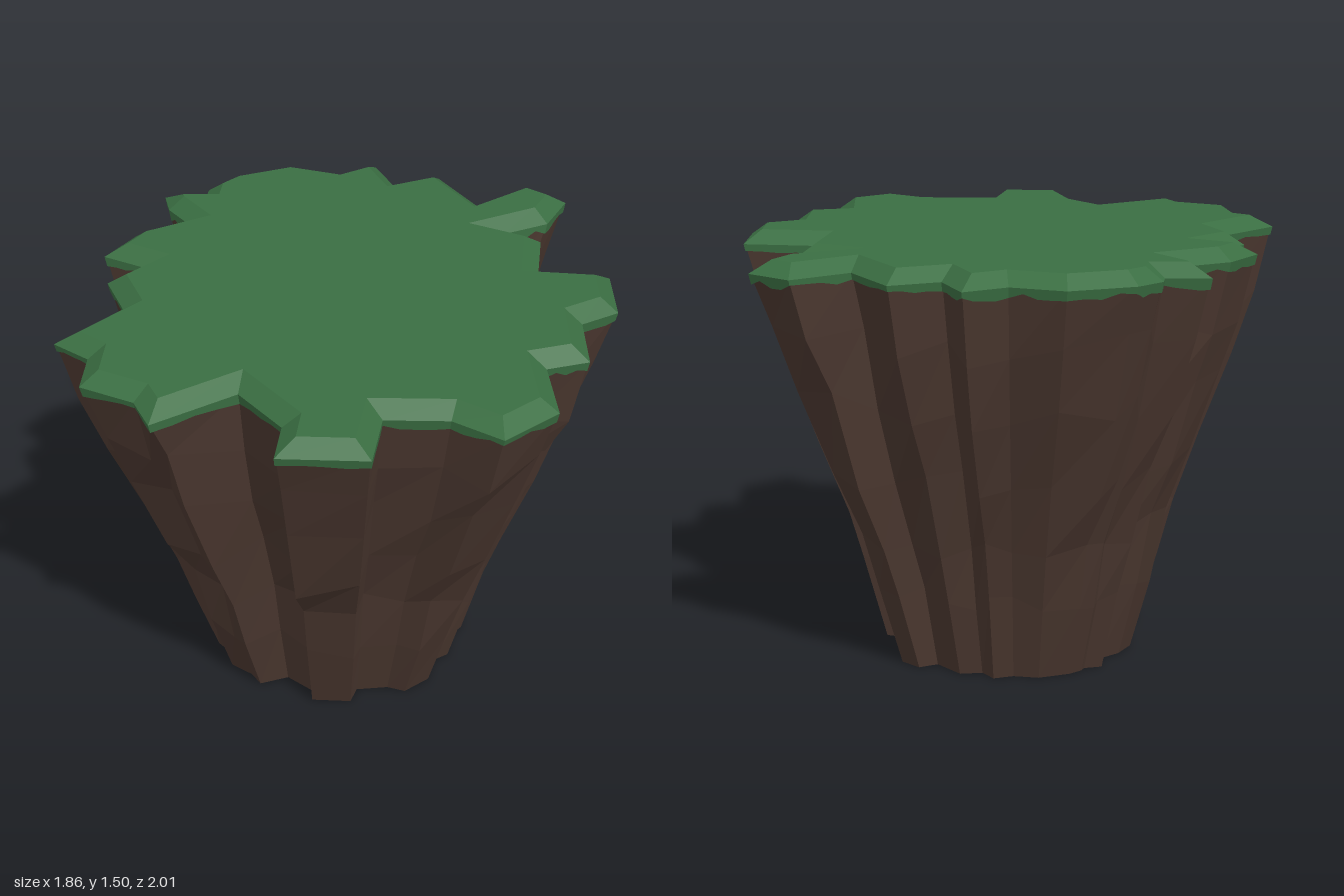
import * as THREE from 'three';

// Jagged rim outline as [x, z], clockwise seen from above, starting at the back
const OUTLINE = [
  [-0.01, -1.0], [0.08, -0.84], [0.24, -0.93], [0.40, -0.72], [0.57, -0.88], [0.72, -0.79], [0.66, -0.62],
  [0.50, -0.52], [0.64, -0.47], [0.64, -0.23], [0.89, -0.23], [0.92, 0], [0.80, 0.09], [0.83, 0.33],
  [0.69, 0.39], [0.74, 0.65], [0.58, 0.82], [0.41, 0.73], [0.19, 0.75], [0.18, 0.98], [-0.11, 1.0],
  [-0.11, 0.83], [-0.28, 0.65], [-0.53, 0.86], [-0.60, 0.74], [-0.79, 0.67], [-0.80, 0.50], [-0.93, 0.42],
  [-0.75, 0.17], [-0.84, 0], [-0.74, -0.13], [-0.89, -0.19], [-0.81, -0.35], [-0.64, -0.47], [-0.73, -0.57],
  [-0.76, -0.66], [-0.61, -0.68], [-0.61, -0.74], [-0.54, -0.83], [-0.33, -0.94], [-0.14, -0.90],
];
const RIM_Y = 1.46, TOP_Y = 1.505, MEAN_RADIUS = 0.85;

// Wall levels: [height, scale of the outline]
const LEVELS = [[0, 0.52], [0.28, 0.6], [0.5, 0.66], [0.74, 0.76], [1.02, 0.865], [1.25, 0.94], [RIM_Y, 1]];

let seed = 7;
const jitter = (amount) => {
  seed = (seed * 16807) % 2147483647;
  return (seed / 2147483647 - 0.5) * 2 * amount;
};

// Mitred offset of a closed outline towards its inside
function inset(points, distance) {
  const n = points.length;
  const normal = (a, b) => {
    const dx = b[0] - a[0], dz = b[1] - a[1], l = Math.hypot(dx, dz);
    return [-dz / l, dx / l];
  };
  return points.map((p, i) => {
    const a = normal(points[(i + n - 1) % n], p), b = normal(p, points[(i + 1) % n]);
    const k = distance / Math.max(0.4, 1 + a[0] * b[0] + a[1] * b[1]);
    return [p[0] + (a[0] + b[0]) * k, p[1] + (a[1] + b[1]) * k];
  });
}

// Cross-section of the wall: smaller and less jagged towards the ground
function section(y, scale, loose) {
  const t = 1 - y / RIM_Y;
  return OUTLINE.map(([x, z]) => {
    const r = Math.hypot(x, z);
    const soft = THREE.MathUtils.lerp(r, MEAN_RADIUS, 0.45 * t) / r;
    const k = scale * soft * (1 + (loose ? jitter(0.012) : 0));
    return new THREE.Vector3(x * k - 0.03 * t, y + (loose ? jitter(0.05) : 0), z * k - 0.045 * t);
  });
}

const atHeight = (points, y) => points.map(([x, z]) => new THREE.Vector3(x, y, z));

// Flat-faced surface through a stack of rings, lowest first
function loft(rings) {
  const out = [];
  for (let r = 0; r + 1 < rings.length; r++) {
    const low = rings[r], high = rings[r + 1], n = low.length;
    for (let i = 0; i < n; i++) {
      const j = (i + 1) % n;
      out.push(low[j], low[i], high[i], low[j], high[i], high[j]);
    }
  }
  return faceted(out);
}

// Flat cap filling a ring, facing up or down
function cap(ring, up) {
  const faces = THREE.ShapeUtils.triangulateShape(ring.map((p) => new THREE.Vector2(p.x, p.z)), []);
  const out = [];
  for (const [a, b, c] of faces) {
    const A = ring[a], B = ring[b], C = ring[c];
    const facesUp = (B.z - A.z) * (C.x - A.x) - (B.x - A.x) * (C.z - A.z) > 0;
    out.push(A, ...(facesUp === up ? [B, C] : [C, B]));
  }
  return faceted(out);
}

function faceted(points) {
  const geometry = new THREE.BufferGeometry().setFromPoints(points);
  geometry.computeVertexNormals();
  return geometry;
}

// Splits every edge of a ring into equal pieces
function subdivide(ring, pieces) {
  return ring.flatMap((p, i) => {
    const q = ring[(i + 1) % ring.length];
    return Array.from({ length: pieces }, (_, k) => p.clone().lerp(q, k / pieces));
  });
}

export function createModel() {
  const group = new THREE.Group();
  const earth = new THREE.MeshStandardMaterial({ color: 0x4a372f });
  earth.name = 'brown earth';
  const grass = new THREE.MeshStandardMaterial({ color: 0x3a6e42 });
  grass.name = 'green grass';
  const add = (name, geometry, material) => {
    const mesh = new THREE.Mesh(geometry, material);
    mesh.name = name;
    group.add(mesh);
  };

  // Rocky wall and its underside
  const last = LEVELS.length - 1;
  const rings = LEVELS.map(([y, s], i) => section(y, s, i > 0 && i < last));
  add('earthWall', loft(rings), earth);
  add('underside', cap(rings[0], false), earth);

  // Grass plateau with a sloping rim
  const rim = atHeight(inset(OUTLINE, -0.005), RIM_Y);
  const plateau = atHeight(inset(OUTLINE, 0.055), TOP_Y);
  add('grassTop', cap(plateau, true), grass);
  add('grassRim', loft([rim, plateau]), grass);

  // Ragged fringe hanging over the wall
  const fringeTop = subdivide(rim, 4);
  const fringeBottom = fringeTop.map((p) => {
    const drop = 0.03 + jitter(0.012);
    return new THREE.Vector3(p.x * (1 - drop * 0.25), RIM_Y - drop, p.z * (1 - drop * 0.25));
  });
  add('grassFringe', loft([fringeBottom, fringeTop]), grass);

  return group;
}
